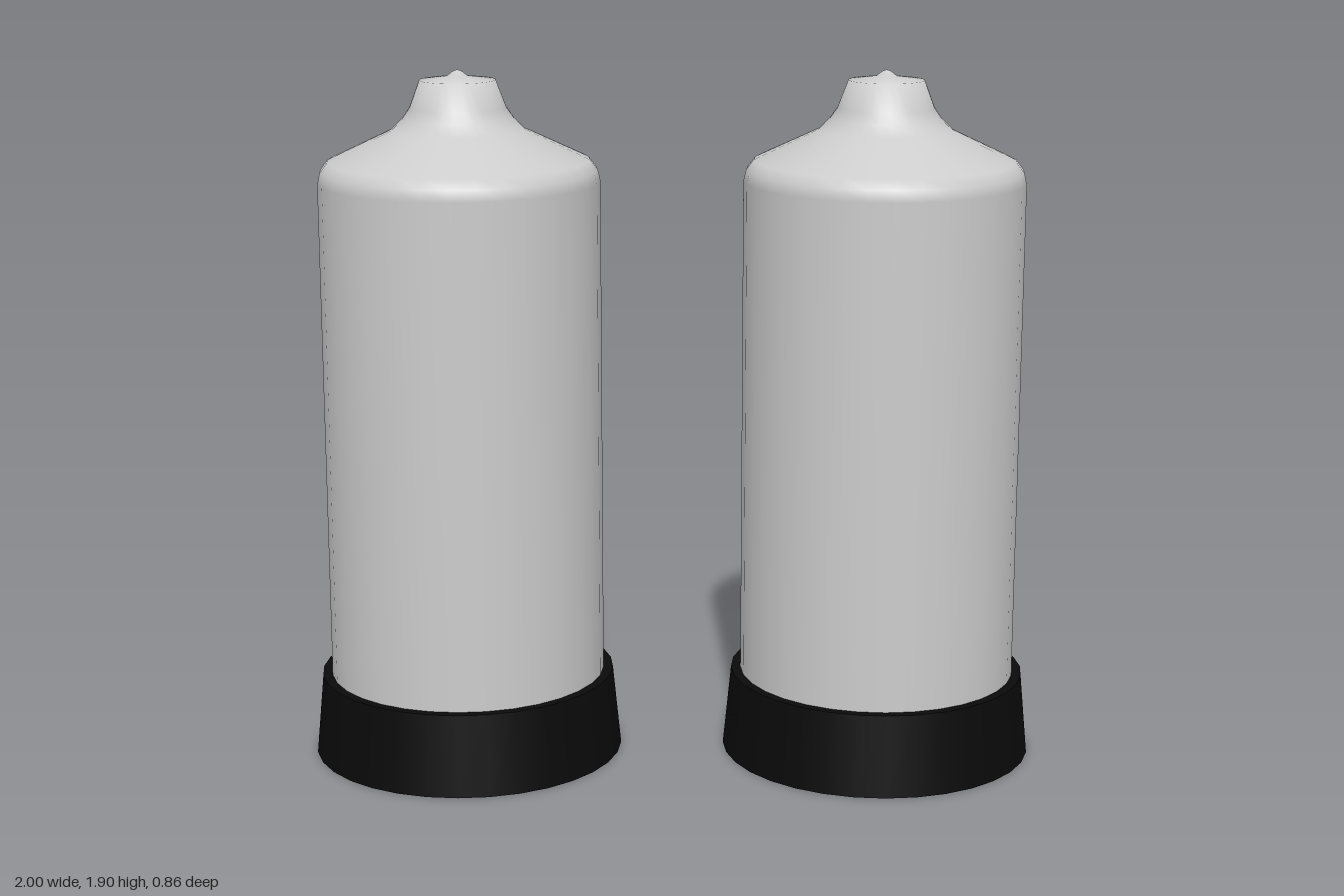
import * as THREE from 'three';

const SIDES = 32;

// Bottle outline from inside the base up to the small nipple on the cap (radius, height)
const PROFILE = [
  [0.38, 0.1], [0.38, 1.6], [0.373, 1.63], [0.353, 1.656], [0.18, 1.738],
  [0.15, 1.768], [0.13, 1.797], [0.102, 1.871], [0.028, 1.881], [0.012, 1.894], [0, 1.898],
].map(([r, y]) => new THREE.Vector2(r, y));

export function createModel() {
  const model = new THREE.Group();
  const grey = new THREE.MeshStandardMaterial({ color: 0xcccccc });
  const black = new THREE.MeshStandardMaterial({ color: 0x0a0a0a });

  const bodyGeometry = new THREE.LatheGeometry(PROFILE, SIDES);
  const baseGeometry = new THREE.CylinderGeometry(0.406, 0.428, 0.225, SIDES);
  baseGeometry.translate(0, 0.1125, 0);

  // Two identical bottles side by side
  for (const [name, x] of [['leftBottle', 0.572], ['rightBottle', -0.572]]) {
    const bottle = new THREE.Group();
    bottle.name = name;
    bottle.position.x = x;

    const body = new THREE.Mesh(bodyGeometry, grey);
    body.name = 'body';
    const base = new THREE.Mesh(baseGeometry, black);
    base.name = 'base';

    bottle.add(body, base);
    model.add(bottle);
  }
  return model;
}
